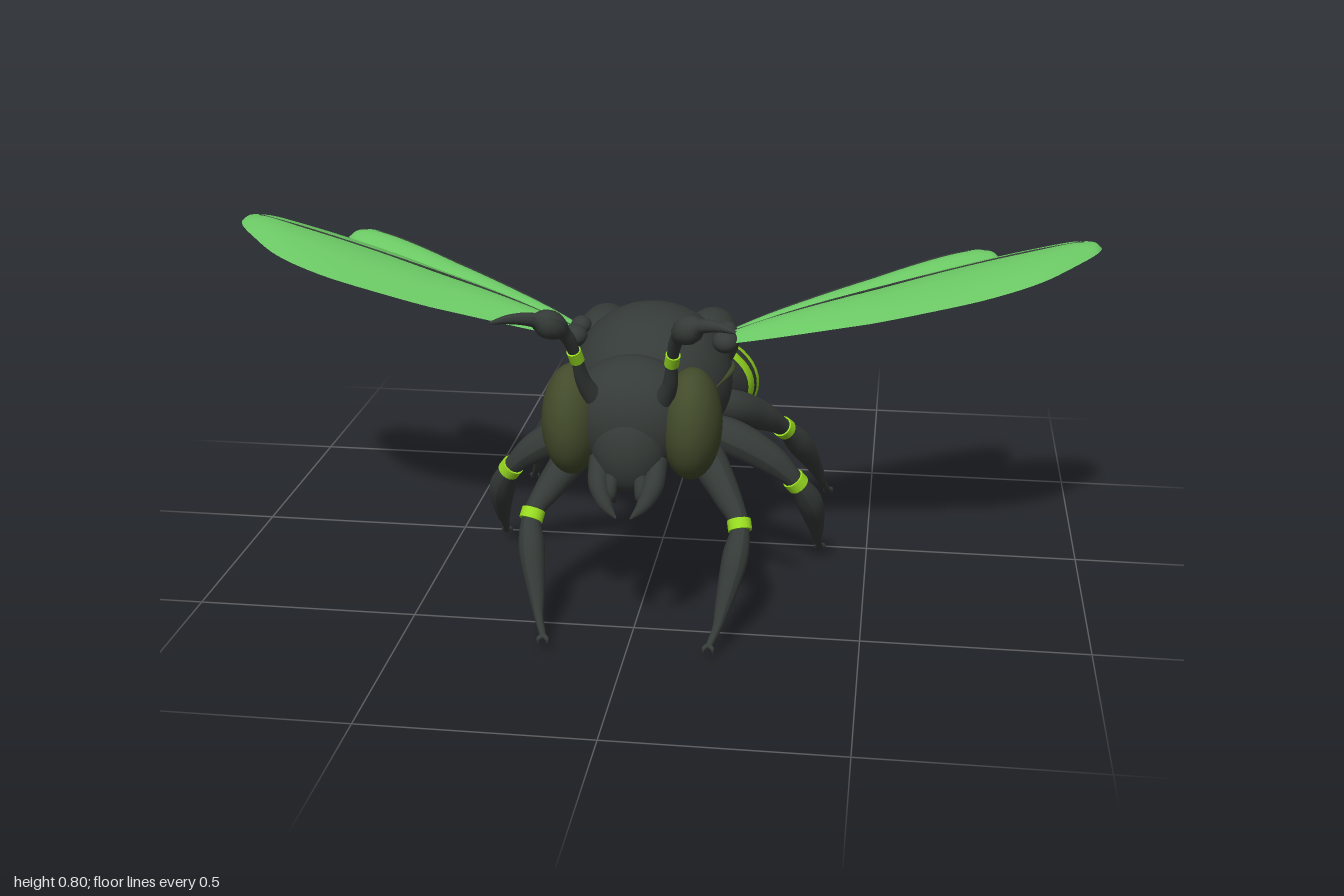
import * as THREE from 'three';

const mat = (name, color, side = THREE.FrontSide) => {
  const m = new THREE.MeshStandardMaterial({ color, side });
  m.name = name;
  return m;
};
const V = (x, y, z) => new THREE.Vector3(x, y, z);

export function createModel() {
  const root = new THREE.Group();
  root.name = 'wasp';
  const shell = mat('dark shell', 0x353b38);
  const lime = mat('lime stripe', 0x97db20);
  const olive = mat('olive eye', 0x424b2b);
  const wingGreen = mat('wing green', 0x6ac663, THREE.DoubleSide);
  const stingGrey = mat('sting grey', 0x9ba19e);

  const add = (name, geometry, material, parent = root) => {
    const m = new THREE.Mesh(geometry, material);
    m.name = name;
    parent.add(m);
    return m;
  };
  const blob = (name, material, [x, y, z], [rx, ry, rz], parent = root) => {
    const m = add(name, new THREE.SphereGeometry(1, 36, 24), material, parent);
    m.position.set(x, y, z);
    m.scale.set(rx, ry, rz);
    return m;
  };

  // Tapered tube through rows of [x, y, z, radius]
  const limb = (name, rows, material, parent, s = 1) => {
    const curve = new THREE.CatmullRomCurve3(rows.map(([x, y, z]) => V(s * x, y, z)));
    const radii = new THREE.CatmullRomCurve3(rows.map(r => V(r[3], 0, 0)));
    const seg = rows.length * 6, sides = 14;
    const g = new THREE.TubeGeometry(curve, seg, 1, sides);
    const p = g.attributes.position, q = V(0, 0, 0);
    for (let i = 0; i <= seg; i++) {
      const c = curve.getPointAt(i / seg);
      const r = Math.max(0.0005, radii.getPoint(curve.getUtoTmapping(i / seg)).x);
      for (let j = 0; j <= sides; j++) {
        const k = i * (sides + 1) + j;
        q.fromBufferAttribute(p, k).sub(c).multiplyScalar(r).add(c);
        p.setXYZ(k, q.x, q.y, q.z);
      }
    }
    g.computeVertexNormals();
    return add(name, g, material, parent);
  };

  // Short collar between two points
  const collar = (name, a, b, radius, material, parent) => {
    const m = add(name, new THREE.CylinderGeometry(radius, radius, a.distanceTo(b), 18), material, parent);
    m.position.copy(a).lerp(b, 0.5);
    m.quaternion.setFromUnitVectors(V(0, 1, 0), b.clone().sub(a).normalize());
    return m;
  };

  // Thorax and head
  blob('thorax', shell, [0, 0.485, 0.195], [0.185, 0.175, 0.205]);
  blob('thoraxBelly', shell, [0, 0.4, 0.2], [0.13, 0.105, 0.14]);
  blob('thoraxBack', shell, [0, 0.5, 0.05], [0.155, 0.115, 0.11]);
  blob('neck', shell, [0, 0.49, 0.4], [0.09, 0.08, 0.06]);
  blob('head', shell, [0, 0.505, 0.495], [0.14, 0.13, 0.11]);
  blob('face', shell, [0, 0.45, 0.555], [0.08, 0.1, 0.065]);
  blob('browSpot', olive, [0, 0.58, 0.572], [0.01, 0.01, 0.01]);

  // Abdomen cross-sections: z, centre y, half width, half height
  const sections = [
    [0.02, 0.42, 0.11, 0.085], [-0.04, 0.405, 0.145, 0.1], [-0.08, 0.385, 0.175, 0.115],
    [-0.125, 0.36, 0.195, 0.122], [-0.19, 0.345, 0.203, 0.13], [-0.255, 0.327, 0.205, 0.138],
    [-0.32, 0.31, 0.203, 0.136], [-0.375, 0.296, 0.198, 0.124], [-0.445, 0.27, 0.172, 0.092],
    [-0.5, 0.246, 0.125, 0.06], [-0.545, 0.232, 0.062, 0.036], [-0.575, 0.238, 0.03, 0.027],
  ];
  const last = sections.length - 1;
  const axis = new THREE.CatmullRomCurve3(sections.map(s => V(0, s[1], s[0])));
  const size = new THREE.CatmullRomCurve3(sections.map(s => V(s[2], s[3], 0)));
  const band = (name, from, to, grow, material) => {
    const g = new THREE.CylinderGeometry(1, 1, 1, 48, (to - from) * 6, true);
    g.rotateX(-Math.PI / 2);
    const p = g.attributes.position;
    for (let i = 0; i < p.count; i++) {
      const t = 0.5 - p.getZ(i);
      const u = Math.min(1, (from + (to - from) * t) / last);
      const c = axis.getPoint(u), r = size.getPoint(u);
      const k = 1 + grow * Math.sqrt(Math.max(0, Math.sin(Math.PI * t)));
      p.setXYZ(i, p.getX(i) * r.x * k, c.y + p.getY(i) * r.y * k, c.z);
    }
    g.computeVertexNormals();
    add(name, g, material);
  };
  band('waist', 0, 2, 0.01, shell);
  for (let i = 2; i < 8; i++) {
    const striped = i % 2 === 1;
    band(striped ? 'abdomenStripe' : 'abdomenSegment', i, i + 1, striped ? 0.022 : 0.006, striped ? lime : shell);
  }
  band('abdomenTip', 8, last, 0, shell);

  // Sting with its collar
  limb('stingBase', [[0, 0.235, -0.54, 0.025], [0, 0.245, -0.59, 0.031], [0, 0.235, -0.63, 0.028],
    [0, 0.225, -0.65, 0.018]], shell, root);
  collar('stingCollar', V(0, 0.247, -0.592), V(0, 0.24, -0.612), 0.034, lime, root);
  limb('sting', [[0, 0.228, -0.635, 0.018], [0, 0.213, -0.68, 0.015], [0, 0.197, -0.73, 0.008],
    [0, 0.178, -0.77, 0.001]], stingGrey, root);

  // Wing surface from rows of [x, leading z, trailing z], arched across its chord
  const lift = new THREE.CatmullRomCurve3([V(0.15, 0.585, 0), V(0.5, 0.66, 0), V(0.77, 0.73, 0), V(1, 0.788, 0)]);
  const liftAt = x => {
    const pts = lift.points;
    let i = 0;
    while (i < 2 && x > pts[i + 1].x) i++;
    return THREE.MathUtils.mapLinear(x, pts[i].x, pts[i + 1].x, pts[i].y, pts[i + 1].y);
  };
  const wing = (name, rows, drop, s, parent) => {
    const outline = new THREE.CatmullRomCurve3(rows.map(r => V(...r)));
    const at = (u, v) => {
      const o = outline.getPoint(u);
      const arch = 0.042 * Math.sin(Math.PI * v) * Math.sin(Math.PI * (0.1 + 0.9 * u));
      return V(s * o.x, liftAt(o.x) + arch - drop, THREE.MathUtils.lerp(o.y, o.z, v));
    };
    const g = new THREE.PlaneGeometry(1, 1, 40, 12);
    const p = g.attributes.position;
    for (let i = 0; i < p.count; i++) {
      const q = at(p.getX(i) + 0.5, p.getY(i) + 0.5);
      p.setXYZ(i, q.x, q.y, q.z);
    }
    g.computeVertexNormals();
    add(name, g, wingGreen, parent);
    const vein = new THREE.CatmullRomCurve3([0.02, 0.2, 0.4, 0.6, 0.8].map(u => at(u, 0.55)));
    add(name + 'Vein', new THREE.TubeGeometry(vein, 24, 0.0025, 6), shell, parent);
  };
  const foreWing = [[0.15, 0.245, 0.2], [0.25, 0.26, 0.14], [0.42, 0.272, 0.055], [0.6, 0.28, 0],
    [0.75, 0.272, -0.025], [0.86, 0.228, -0.033], [0.94, 0.15, -0.027], [0.985, 0.095, 0.0], [1, 0.06, 0.045]];
  const hindWing = [[0.15, 0.19, 0.15], [0.25, 0.17, 0.075], [0.4, 0.12, -0.01], [0.55, 0.06, -0.085],
    [0.66, 0.015, -0.13], [0.73, -0.025, -0.145], [0.765, -0.05, -0.13], [0.782, -0.075, -0.09]];

  // Legs: hip, thigh, knee, shin and foot as [x, y, z, radius]
  const legs = {
    frontLeg: [[0.09, 0.42, 0.29, 0.03], [0.14, 0.37, 0.36, 0.042], [0.2, 0.295, 0.43, 0.031], [0.23, 0.248, 0.47, 0.021],
      [0.225, 0.19, 0.51, 0.029], [0.205, 0.1, 0.565, 0.018], [0.195, 0.06, 0.595, 0.01], [0.18, 0.028, 0.625, 0.007]],
    middleLeg: [[0.1, 0.38, 0.2, 0.03], [0.19, 0.35, 0.205, 0.043], [0.28, 0.3, 0.205, 0.035], [0.335, 0.248, 0.2, 0.022],
      [0.365, 0.185, 0.16, 0.031], [0.38, 0.095, 0.1, 0.019], [0.382, 0.05, 0.065, 0.01], [0.388, 0.012, 0.028, 0.007]],
    hindLeg: [[0.1, 0.39, 0.09, 0.03], [0.17, 0.365, 0.035, 0.042], [0.235, 0.315, -0.05, 0.036], [0.285, 0.262, -0.115, 0.022],
      [0.32, 0.2, -0.18, 0.032], [0.36, 0.1, -0.265, 0.018], [0.376, 0.05, -0.3, 0.01], [0.39, 0.012, -0.335, 0.007]],
  };

  for (const s of [1, -1]) {
    const side = new THREE.Group();
    side.name = s > 0 ? 'leftSide' : 'rightSide';
    root.add(side);

    // Eye, shoulder plate, wing joints and side trim
    blob('eye', olive, [s * 0.128, 0.495, 0.51], [0.066, 0.122, 0.1], side);
    blob('shoulderPlate', shell, [s * 0.125, 0.55, 0.09], [0.065, 0.07, 0.115], side);
    blob('wingJoint', shell, [s * 0.172, 0.592, 0.235], [0.03, 0.026, 0.032], side);
    blob('rearWingJoint', shell, [s * 0.168, 0.595, 0.165], [0.024, 0.022, 0.03], side);
    limb('sideTrim', [[0.158, 0.505, 0.3, 0.002], [0.184, 0.515, 0.21, 0.007], [0.18, 0.505, 0.12, 0.002]], olive, side, s);

    wing('foreWing', foreWing, 0, s, side);
    wing('hindWing', hindWing, 0.012, s, side);

    // Antenna with its band
    limb('antenna', [[0.075, 0.56, 0.555, 0.022], [0.092, 0.61, 0.585, 0.016], [0.1, 0.67, 0.617, 0.012],
      [0.118, 0.735, 0.66, 0.015], [0.165, 0.772, 0.705, 0.015], [0.21, 0.783, 0.74, 0.01],
      [0.245, 0.782, 0.768, 0.003]], shell, side, s);
    collar('antennaBand', V(s * 0.098, 0.66, 0.612), V(s * 0.103, 0.685, 0.626), 0.0155, lime, side);

    // Mandible and feeler
    limb('mandible', [[0.06, 0.43, 0.565, 0.024], [0.058, 0.385, 0.605, 0.022], [0.04, 0.35, 0.63, 0.015],
      [0.015, 0.325, 0.645, 0.002]], shell, side, s);
    limb('feeler', [[0.03, 0.41, 0.59, 0.016], [0.032, 0.365, 0.61, 0.013], [0.025, 0.34, 0.59, 0.003]], shell, side, s);

    for (const [name, rows] of Object.entries(legs)) {
      const leg = new THREE.Group();
      leg.name = name;
      side.add(leg);
      limb(name + 'Limb', rows, shell, leg, s);
      // Knee band, lying along the limb
      const knee = V(s * rows[3][0], rows[3][1], rows[3][2]);
      const along = V(s * (rows[4][0] - rows[2][0]), rows[4][1] - rows[2][1], rows[4][2] - rows[2][2])
        .normalize().multiplyScalar(0.012);
      collar('kneeBand', knee.clone().sub(along), knee.clone().add(along), 0.0265, lime, leg);
      // Two small claws
      const [fx, fy, fz] = rows[7];
      const dz = Math.sign(rows[7][2] - rows[6][2]);
      for (const k of [-1, 1]) {
        limb('claw', [[fx, fy + 0.004, fz, 0.006], [fx + k * 0.009, fy, fz + dz * 0.008, 0.005],
          [fx + k * 0.01, fy - 0.011, fz + dz * 0.01, 0.001]], shell, leg, s);
      }
    }
  }
  return root;
}
